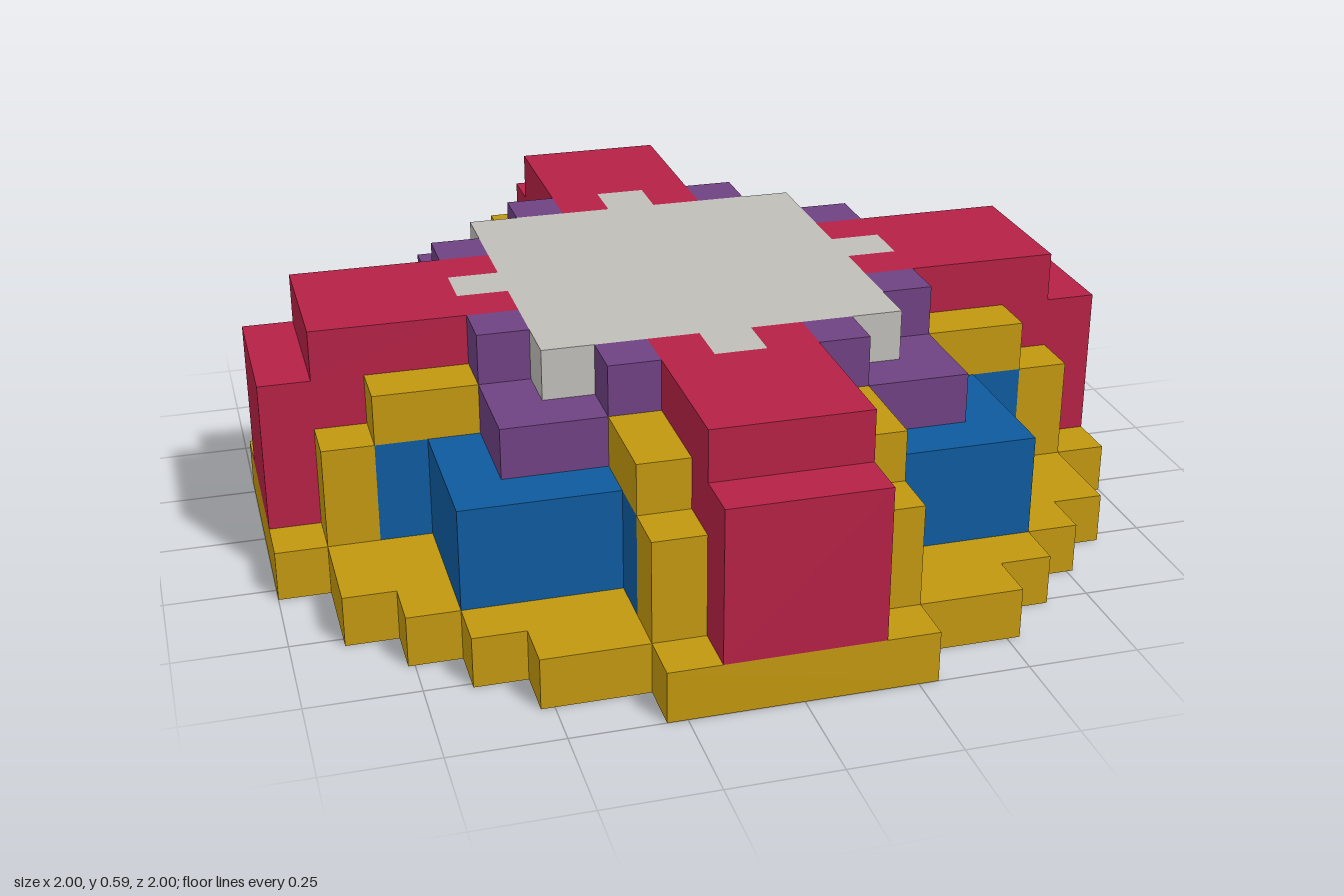
import * as THREE from 'three';

const U = 2 / 17; // one block of the grid

const material = (name, color) => {
  const m = new THREE.MeshStandardMaterial({ color });
  m.name = name;
  return m;
};

export function createModel() {
  const gold = material('gold', 0xc1970f);
  const red = material('crimson', 0xb42146);
  const blue = material('blue', 0x0e5a9e);
  const purple = material('purple', 0x6e4182);
  const silver = material('silver', 0xbfbdb8);

  const model = new THREE.Group();
  model.name = 'steppedDome';

  // Box between two corners, given in block units
  const block = (parent, name, mat, [x0, x1], [y0, y1], [z0, z1]) => {
    const geometry = new THREE.BoxGeometry((x1 - x0) * U, (y1 - y0) * U, (z1 - z0) * U);
    const mesh = new THREE.Mesh(geometry, mat);
    mesh.position.set((x0 + x1) / 2 * U, (y0 + y1) / 2 * U, (z0 + z1) / 2 * U);
    mesh.name = name;
    parent.add(mesh);
  };

  // Stepped round base plate, one quarter outline turned four times
  const steps = [[8.5, 2.5], [7.5, 2.5], [7.5, 4.5], [6.5, 4.5], [6.5, 5.5], [5.5, 5.5],
    [5.5, 6.5], [4.5, 6.5], [4.5, 7.5], [2.5, 7.5], [2.5, 8.5]];
  const outline = [];
  for (let q = 0; q < 4; q++) {
    const turn = q * Math.PI / 2;
    // the first corner of each quarter mirrors the last one
    for (const [x, y] of [[8.5, -2.5], ...steps.slice(0, -1)]) {
      outline.push(new THREE.Vector2(x * U, y * U).rotateAround(new THREE.Vector2(), turn));
    }
  }
  const baseGeometry = new THREE.ExtrudeGeometry(new THREE.Shape(outline), { depth: U, bevelEnabled: false });
  baseGeometry.rotateX(-Math.PI / 2);
  const base = new THREE.Mesh(baseGeometry, gold);
  base.name = 'base';
  model.add(base);

  // Silver top plate
  block(model, 'topPlate', silver, [-3.5, 3.5], [4, 5], [-3.5, 3.5]);

  for (let q = 0; q < 4; q++) {
    const quarter = new THREE.Group();
    quarter.name = 'quarter';
    quarter.rotation.y = q * Math.PI / 2;
    model.add(quarter);

    // Red arm with a raised inner step, and the silver tab let into it
    block(quarter, 'arm', red, [-1.5, 1.5], [1, 4], [1.5, 8.5]);
    block(quarter, 'armStep', red, [-1.5, 1.5], [4, 5], [4.5, 7.5]);
    block(quarter, 'topTab', silver, [-0.5, 0.5], [4, 5], [3.5, 4.5]);

    // Parts on both flanks of the arm
    for (const s of [-1, 1]) {
      const side = (a, b) => (s > 0 ? [a, b] : [-b, -a]);
      block(quarter, 'armInner', red, side(0.5, 1.5), [4, 5], [3.5, 4.5]);
      block(quarter, 'purpleTooth', purple, side(1.5, 2.5), [3, 5], [3.5, 4.5]);
      block(quarter, 'goldLintel', gold, side(1.5, 2.5), [3, 4], [4.5, 6.5]);
      block(quarter, 'goldPillar', gold, side(1.5, 2.5), [1, 3], [6.5, 7.5]);
      block(quarter, 'blueWall', blue, side(1.5, 2.5), [1, 3], [2.5, 6.5]);
    }

    // Corner block with its purple step
    block(quarter, 'cornerBlock', blue, [2.5, 5.5], [1, 3], [2.5, 5.5]);
    block(quarter, 'cornerStep', purple, [2.5, 4.5], [3, 4], [2.5, 4.5]);
  }
  return model;
}
